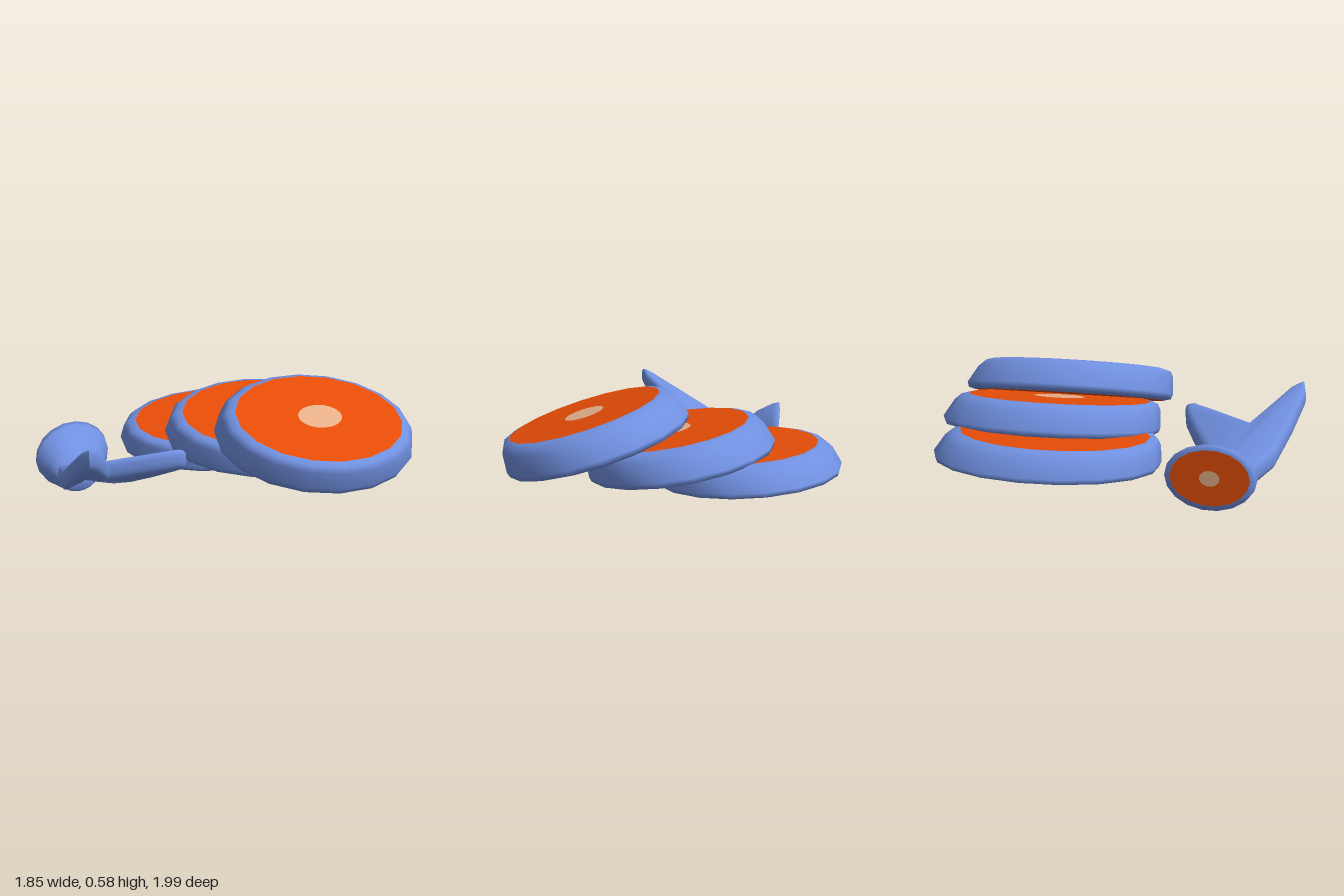
import * as THREE from 'three';
import { toCreasedNormals } from 'three/addons/utils/BufferGeometryUtils.js';

const SIDES = 18;

// One ring of an oval cross-section: [height, rx, rz, offsetX, offsetZ]
function ring([h, rx, rz, ox = 0, oz = 0], skew) {
  const pts = [];
  for (let i = 0; i < SIDES; i++) {
    const a = (i / SIDES) * Math.PI * 2;
    const z = rz * Math.sin(a);
    pts.push(rx * Math.cos(a) + ox - skew * z, h, z + oz);
  }
  return pts;
}

function build(positions, index) {
  const g = new THREE.BufferGeometry();
  g.setAttribute('position', new THREE.Float32BufferAttribute(positions, 3));
  g.setIndex(index);
  g.computeVertexNormals();
  return g;
}

// Smooth skin through rings listed from top to bottom
function loft(rings, skew) {
  const index = [];
  for (let r = 0; r < rings.length - 1; r++) {
    for (let i = 0; i < SIDES; i++) {
      const j = (i + 1) % SIDES;
      const a = r * SIDES + i, b = r * SIDES + j, c = a + SIDES, d = b + SIDES;
      index.push(a, b, c, b, d, c);
    }
  }
  return build(rings.flatMap((r) => ring(r, skew)), index);
}

// Flat oval face, looking up or down
function face(section, skew, up) {
  const index = [];
  for (let i = 0; i < SIDES; i++) {
    const j = (i + 1) % SIDES;
    index.push(SIDES, up ? j : i, up ? i : j);
  }
  const [h, , , ox = 0, oz = 0] = section;
  return build([...ring(section, skew), ox, h, oz], index);
}

export function createModel() {
  const mat = (name, color) => {
    const m = new THREE.MeshStandardMaterial({ color });
    m.name = name;
    return m;
  };
  const skin = mat('blue skin', 0x7090e0);
  const flesh = mat('orange flesh', 0xe84d08);
  const bone = mat('pale bone', 0xe8b18a);

  const model = new THREE.Group();
  model.name = 'slicedFish';
  const add = (parent, name, geometry, material) => {
    const mesh = new THREE.Mesh(geometry, material);
    mesh.name = name;
    parent.add(mesh);
  };

  // Cut face with its round bone
  function cut(parent, name, section, skew, up) {
    const [h, rx, rz, ox, oz] = section;
    add(parent, name + 'Flesh', face(section, skew, up), flesh);
    const spot = [h + (up ? 0.004 : -0.004), rx * 0.255, rz * 0.28, ox, oz];
    add(parent, name + 'Bone', face(spot, skew, up), bone);
  }

  // Three overlapping steaks: centre of the top face, slope along x and z, thickness
  const steakRings = [
    [0, 0.418, 0.49, 0, 0],
    [-0.06, 0.455, 0.53, 0, 0],
    [-0.25, 0.482, 0.555, -0.006, -0.012],
    [-0.78, 0.505, 0.585, -0.015, -0.04],
    [-0.94, 0.495, 0.575, -0.015, -0.04],
    [-1, 0.455, 0.535, -0.015, -0.04],
  ];
  const steaks = [
    ['lowerSteak', -0.31, 0.3, -0.38, 0.06, 0.05, 0.155],
    ['middleSteak', 0.05, 0.393, -0.305, 0.16, 0.08, 0.172],
    ['upperSteak', 0.47, 0.47, -0.14, 0.285, 0.12, 0.182],
  ];
  const up = new THREE.Vector3(0, 1, 0);
  for (const [name, x, y, z, slopeX, slopeZ, thickness] of steaks) {
    const steak = new THREE.Group();
    steak.name = name;
    steak.position.set(x, y, z);
    steak.quaternion.setFromUnitVectors(up, new THREE.Vector3(slopeX, 1, slopeZ).normalize());
    const rings = steakRings.map(([h, ...rest]) => [h * thickness, ...rest]);
    add(steak, 'skin', loft(rings, 0.1), skin);
    cut(steak, 'top', rings[0], 0.1, true);
    cut(steak, 'bottom', rings[5], 0.1, false);
    model.add(steak);
  }

  // Tail stump, narrowing from its cut face to the fin
  const stumpRings = [
    [0, 0.2, 0.15, 0, 0],
    [-0.006, 0.228, 0.178, 0, 0],
    [-0.04, 0.222, 0.174, -0.01, -0.008],
    [-0.13, 0.176, 0.14, -0.043, -0.036],
    [-0.215, 0.115, 0.08, -0.078, -0.082],
    [-0.24, 0.088, 0.052, -0.082, -0.095],
    [-0.248, 0, 0, -0.082, -0.095],
  ];
  const stump = new THREE.Group();
  stump.name = 'tailStump';
  const outward = new THREE.Vector3(-0.91, -0.1, -0.41).normalize();
  const across = new THREE.Vector3().crossVectors(outward, up).normalize();
  const rise = new THREE.Vector3().crossVectors(across, outward);
  stump.quaternion.setFromRotationMatrix(new THREE.Matrix4().makeBasis(across, outward, rise));
  stump.position.set(-0.845, 0.182, 0.31);
  add(stump, 'skin', loft(stumpRings, 0), skin);
  cut(stump, 'end', stumpRings[0], 0, true);
  model.add(stump);

  // Forked tail fin: thick rounded plate, level at the root and rising to both tips
  const outline = [
    [-0.73, 0.55], [-0.67, 0.43], [-0.6, 0.42], [-0.49, 0.42], [-0.38, 0.415], [-0.25, 0.4],
    [-0.12, 0.39], [-0.085, 0.395], [-0.09, 0.41], [-0.2, 0.5], [-0.385, 0.645],
    [-0.32, 0.79], [-0.26, 0.92], [-0.255, 0.965], [-0.29, 0.955], [-0.44, 0.84], [-0.6, 0.7],
  ];
  const shape = new THREE.Shape(outline.map(([x, z]) => new THREE.Vector2(x, -z)));
  let fin = new THREE.ExtrudeGeometry(shape, {
    depth: 0.03, bevelThickness: 0.04, bevelSize: 0.025, bevelSegments: 3,
  });
  fin.rotateX(-Math.PI / 2);
  const p = fin.attributes.position;
  const rootY = 0.135;
  for (let i = 0; i < p.count; i++) {
    const d = 0.265 - rootY + 0.45 * (p.getX(i) + 0.36) + 0.38 * (p.getZ(i) - 0.65);
    const lift = (d + Math.hypot(d, 0.05)) / 2;
    p.setY(i, p.getY(i) - 0.015 + rootY + lift);
  }
  fin = toCreasedNormals(fin, 1.1);
  add(model, 'tailFin', fin, skin);

  return model;
}
